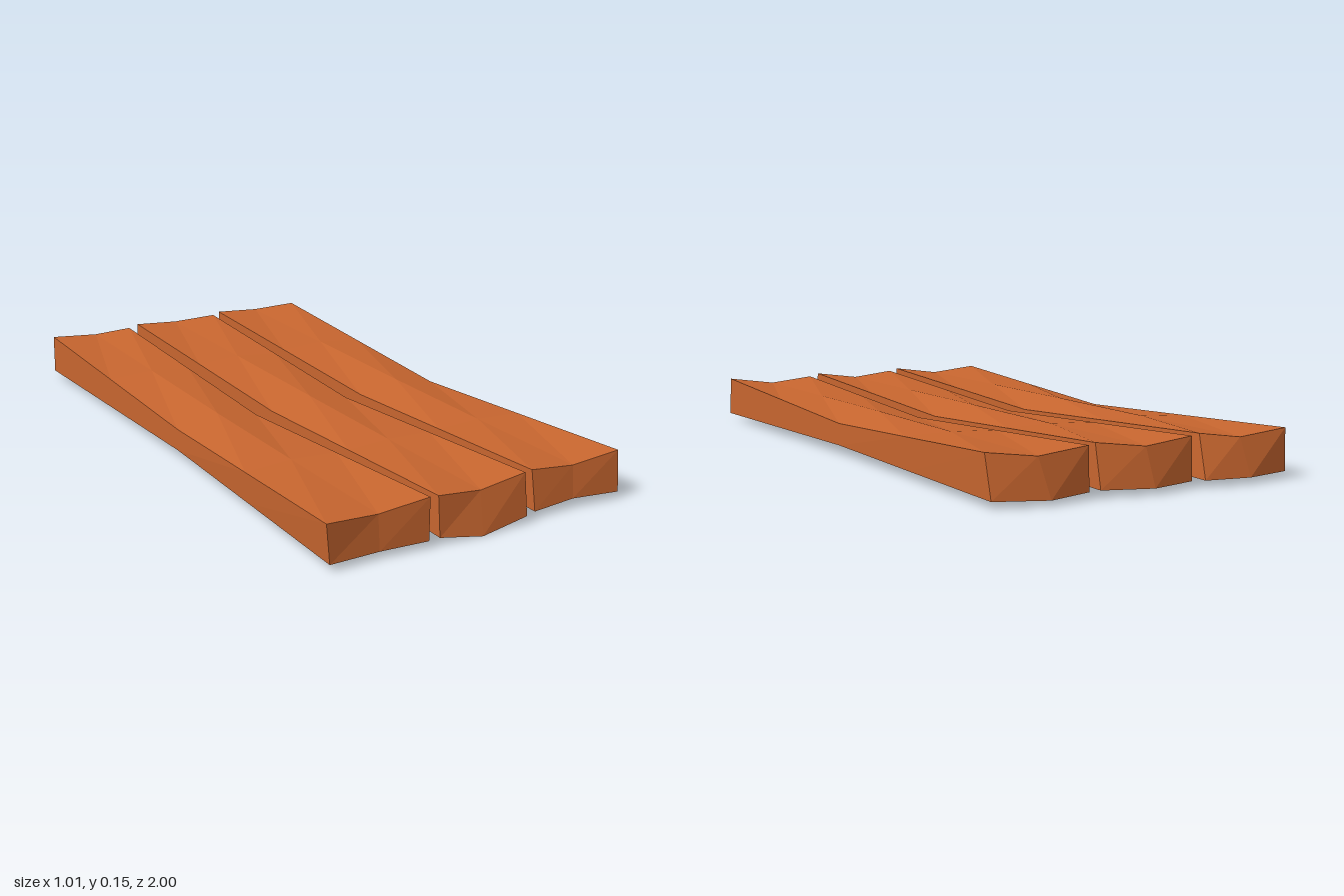
import * as THREE from 'three';

// Each plank: end cross-sections as [x, y, z] for left edge, centre, right edge
// (top row and bottom row), plus the x range at the narrowed waist.
const planks = [
  {
    name: 'rightPlank', waist: [-0.47, -0.33, -0.19],
    frontTop: [[-0.507, 0.142, 0.985], [-0.335, 0.128, 0.97], [-0.176, 0.15, 0.985]],
    frontBottom: [[-0.496, 0.022, 0.985], [-0.335, 0.022, 0.98], [-0.18, 0.022, 0.99]],
    backTop: [[-0.476, 0.15, -0.97], [-0.31, 0.135, -0.973], [-0.19, 0.15, -0.94]],
    backBottom: [[-0.476, 0.022, -0.973], [-0.33, 0.02, -1], [-0.18, 0.022, -0.987]],
  },
  {
    name: 'middlePlank', waist: [-0.13, 0.01, 0.15],
    frontTop: [[-0.142, 0.143, 0.975], [0.005, 0.128, 0.97], [0.16, 0.15, 0.97]],
    frontBottom: [[-0.142, 0.022, 0.987], [-0.003, 0.001, 1], [0.16, 0.022, 0.987]],
    backTop: [[-0.142, 0.15, -0.97], [0.02, 0.135, -0.98], [0.16, 0.15, -0.94]],
    backBottom: [[-0.142, 0.022, -0.975], [0, 0.018, -1], [0.16, 0.022, -0.97]],
  },
  {
    name: 'leftPlank', waist: [0.208, 0.35, 0.49],
    frontTop: [[0.2, 0.143, 0.95], [0.35, 0.128, 0.95], [0.507, 0.15, 0.965]],
    frontBottom: [[0.2, 0.022, 0.972], [0.345, 0.03, 0.965], [0.507, 0.022, 0.975]],
    backTop: [[0.2, 0.15, -0.97], [0.365, 0.135, -0.98], [0.505, 0.15, -0.94]],
    backBottom: [[0.2, 0.022, -0.975], [0.335, 0.016, -1], [0.5, 0.022, -0.967]],
  },
];

const material = new THREE.MeshStandardMaterial({ color: 0xc8662f, flatShading: true });

function makePlank(p) {
  const geometry = new THREE.BoxGeometry(2, 2, 2, 2, 1, 4);
  const pos = geometry.attributes.position;
  for (let i = 0; i < pos.count; i++) {
    const col = Math.round(pos.getX(i)) + 1;
    const top = pos.getY(i) > 0;
    const t = pos.getZ(i);
    const end = t >= 0 ? (top ? p.frontTop : p.frontBottom) : (top ? p.backTop : p.backBottom);
    // Waist is thinner, with worn-down edges and a raised centre
    const waistY = top ? (col === 1 ? 0.132 : 0.102) : 0.032;
    const waist = new THREE.Vector3(p.waist[col], waistY, 0.03);
    const v = waist.lerp(new THREE.Vector3(...end[col]), Math.abs(t));
    pos.setXYZ(i, v.x, v.y, v.z);
  }
  geometry.computeVertexNormals();
  const mesh = new THREE.Mesh(geometry, material);
  mesh.name = p.name;
  return mesh;
}

export function createModel() {
  const group = new THREE.Group();
  group.name = 'woodenPlanks';
  planks.forEach((p) => group.add(makePlank(p)));
  return group;
}
